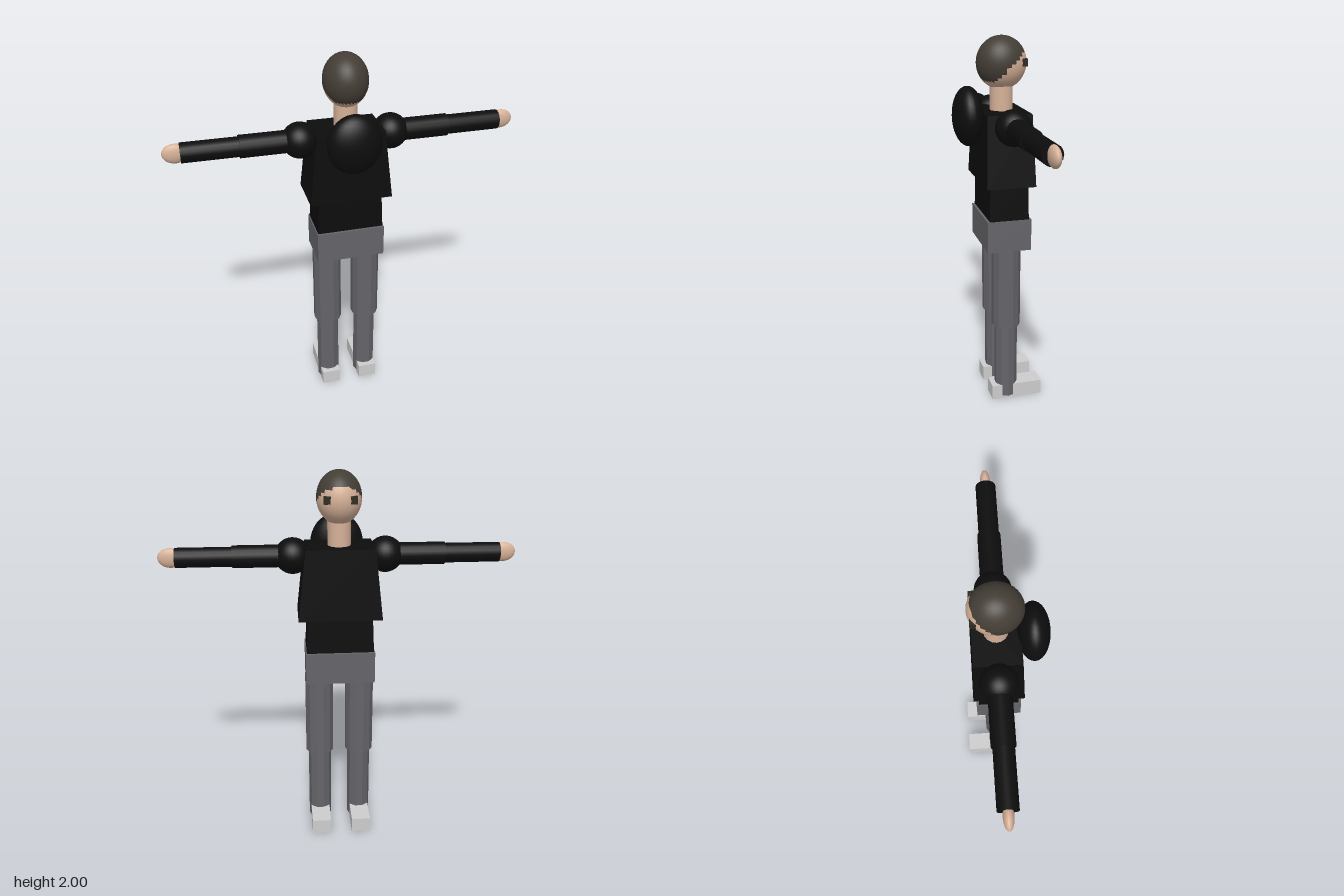
import * as THREE from 'three';

const mat = (name, color) => {
  const m = new THREE.MeshStandardMaterial({ color });
  m.name = name;
  return m;
};

export function createModel() {
  const root = new THREE.Group();
  root.name = 'figure';
  const black = mat('blackCloth', 0x0d0d0d);
  const grey = mat('greyTrousers', 0x656469);
  const shoe = mat('paleShoe', 0xcdcdcd);
  const skin = mat('skin', 0xd6b198);
  const hair = mat('darkHair', 0x433d35);
  const lens = mat('darkLens', 0x2e2821);
  const AXIS = -0.03; // z of the body axis

  const add = (name, geo, material, x, y, z) => {
    const m = new THREE.Mesh(geo, material);
    m.name = name;
    m.position.set(x, y, z);
    root.add(m);
    return m;
  };
  const ball = (name, material, r, p) =>
    add(name, new THREE.SphereGeometry(1, 28, 18).scale(...r), material, ...p);
  const faceted = (r, len, sides) => {
    const g = new THREE.CylinderGeometry(r, r, len, sides).rotateY(Math.PI / sides).toNonIndexed();
    g.computeVertexNormals();
    return g;
  };

  // box whose upper face is scaled by tx, tz
  const taperedBox = (w, h, d, tx, tz) => {
    const g = new THREE.BoxGeometry(w, h, d);
    const p = g.attributes.position;
    for (let i = 0; i < p.count; i++) {
      if (p.getY(i) > 0) p.setXYZ(i, p.getX(i) * tx, p.getY(i), p.getZ(i) * tz);
    }
    g.computeVertexNormals();
    return g;
  };

  // trunk
  add('hips', new THREE.BoxGeometry(0.365, 0.17, 0.236), grey, 0, 0.982, AXIS);
  add('waist', taperedBox(0.355, 0.2, 0.21, 0.95, 0.97), black, 0, 1.16, AXIS);
  add('chest', taperedBox(0.435, 0.37, 0.26, 0.81, 0.9), black, 0, 1.438, AXIS);
  add('neck', new THREE.CylinderGeometry(0.06, 0.06, 0.18, 16), skin, 0, 1.69, AXIS);
  ball('backpack', black, [0.14, 0.155, 0.08], [0, 1.595, 0.148]);

  // head: faces above a slanted hairline belong to the hair
  const head = new THREE.SphereGeometry(1, 32, 24).scale(0.115, 0.136, 0.131).toNonIndexed();
  const p = head.attributes.position;
  for (let i = 0; i < p.count; i += 3) {
    const y = (p.getY(i) + p.getY(i + 1) + p.getY(i + 2)) / 3;
    const z = (p.getZ(i) + p.getZ(i + 1) + p.getZ(i + 2)) / 3;
    head.addGroup(i, 3, y > -0.09 && y > -0.035 - 0.9 * z ? 1 : 0);
  }
  add('head', head, [skin, hair], 0, 1.864, AXIS);

  // paired parts
  for (const [side, s] of [['left', 1], ['right', -1]]) {
    add(side + 'Lens', new THREE.BoxGeometry(0.046, 0.038, 0.028), lens, s * 0.06, 1.868, -0.133);
    ball(side + 'Shoulder', black, [0.093, 0.093, 0.093], [s * 0.238, 1.57, AXIS]);
    add(side + 'UpperArm', new THREE.CylinderGeometry(0.058, 0.058, 0.31, 16), black,
      s * 0.39, 1.57, AXIS).rotation.z = Math.PI / 2;
    add(side + 'Forearm', new THREE.CylinderGeometry(0.051, 0.051, 0.3, 16), black,
      s * 0.682, 1.57, AXIS).rotation.z = Math.PI / 2;
    ball(side + 'Hand', skin, [0.065, 0.051, 0.026], [s * 0.855, 1.57, AXIS]);
    add(side + 'Thigh', faceted(0.078, 0.46, 12), grey, s * 0.11, 0.677, AXIS);
    add(side + 'Shin', faceted(0.063, 0.45, 10), grey, s * 0.11, 0.24, AXIS);
    add(side + 'Shoe', new THREE.BoxGeometry(0.104, 0.083, 0.284), shoe, s * 0.111, 0.0415, -0.083);
  }
  return root;
}
